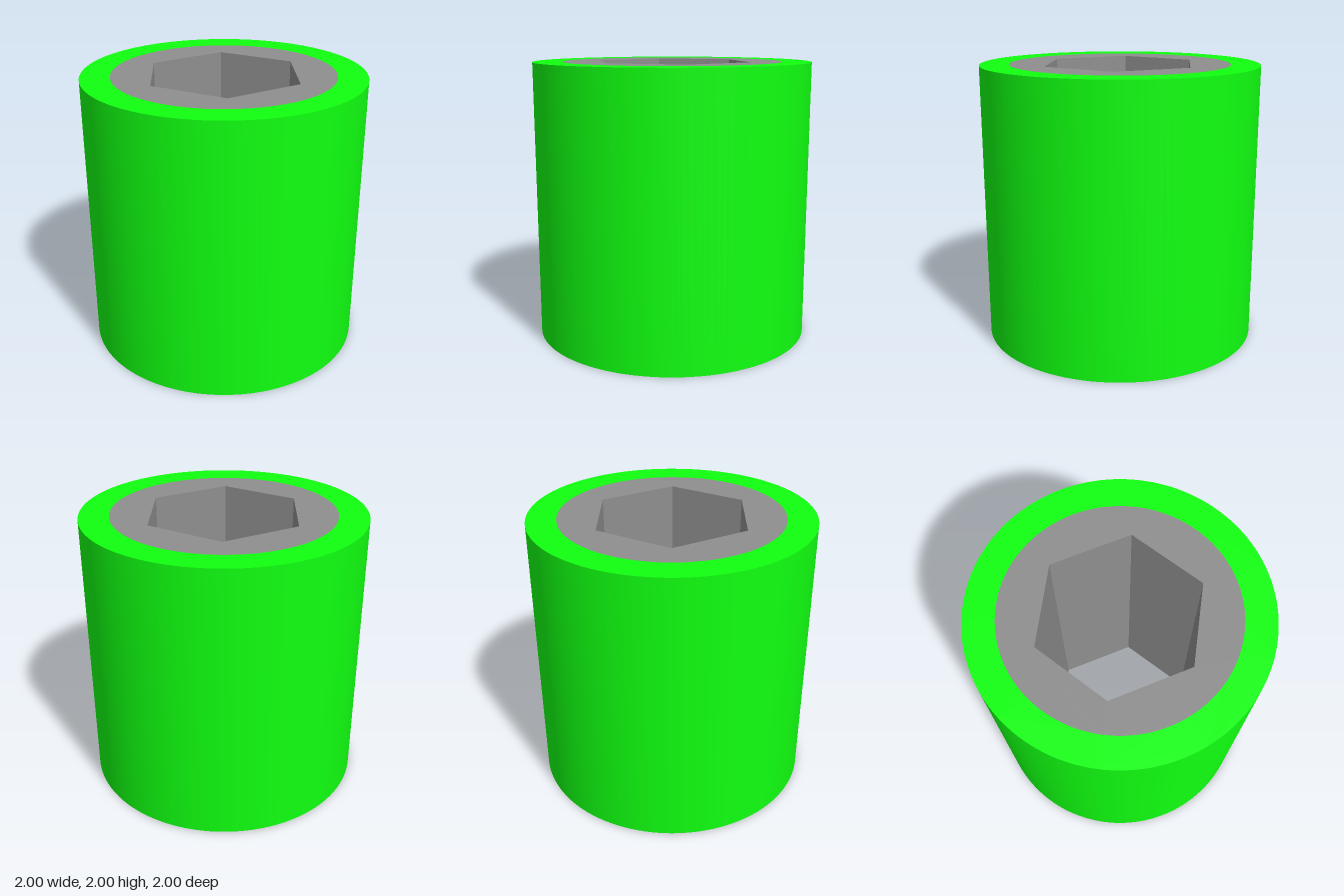
import * as THREE from 'three';
import { toCreasedNormals } from 'three/addons/utils/BufferGeometryUtils.js';

const HEIGHT = 2;
const OUTER_RADIUS = 1;
const CORE_RADIUS = 0.79;
const HEX_RADIUS = 0.5 / Math.cos(Math.PI / 6); // 0.5 from centre to each flat

function circle(PathType, radius) {
  return new PathType().absarc(0, 0, radius, 0, Math.PI * 2, false);
}

function hexagon(radius) {
  const points = [];
  for (let i = 0; i < 6; i++) {
    const a = (i * Math.PI) / 3;
    points.push(new THREE.Vector2(radius * Math.cos(a), radius * Math.sin(a)));
  }
  return new THREE.Path(points);
}

// Upright prism with a through hole, smooth on its round walls
function hollowPrism(name, outline, hole, color) {
  outline.holes.push(hole);
  const extruded = new THREE.ExtrudeGeometry(outline, {
    depth: HEIGHT, bevelEnabled: false, curveSegments: 72,
  });
  extruded.rotateX(-Math.PI / 2);
  const mesh = new THREE.Mesh(
    toCreasedNormals(extruded, 0.5),
    new THREE.MeshStandardMaterial({ color }),
  );
  mesh.name = name;
  return mesh;
}

export function createModel() {
  const model = new THREE.Group();
  model.name = 'hexBoreRoller';
  model.add(
    // Green outer sleeve
    hollowPrism('outerSleeve', circle(THREE.Shape, OUTER_RADIUS), circle(THREE.Path, CORE_RADIUS), 0x10ff10),
    // Grey core with hexagonal bore
    hollowPrism('hexCore', circle(THREE.Shape, CORE_RADIUS), hexagon(HEX_RADIUS), 0x8f8f8f),
  );
  return model;
}
